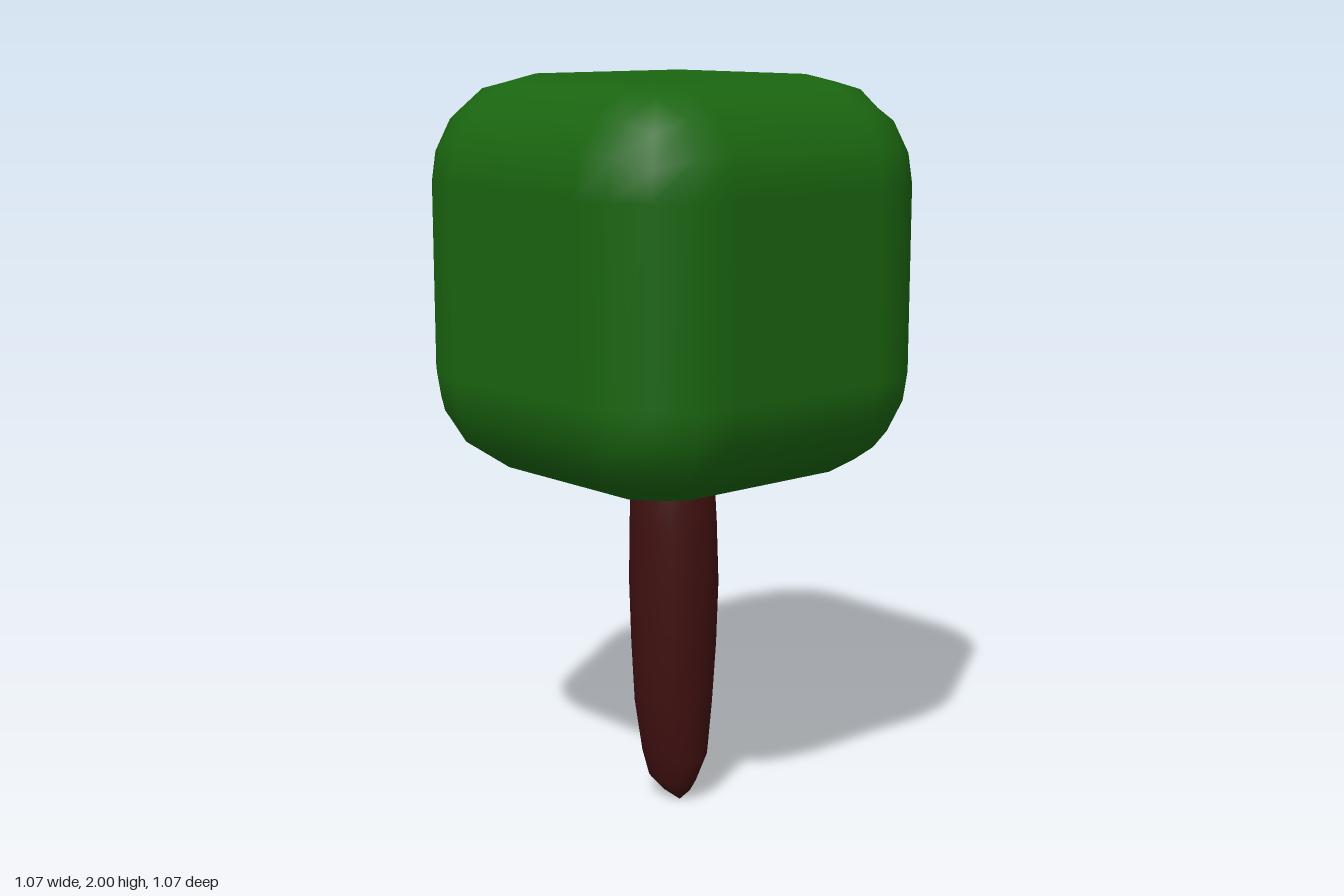
import * as THREE from 'three';
import { mergeVertices } from 'three/addons/utils/BufferGeometryUtils.js';

// Rounded cube: a flat core of half-size `core` with spherical corners of radius `r`
function roundedCube(core, r) {
  const geo = new THREE.BoxGeometry(2, 2, 2, 5, 5, 5);
  const pos = geo.attributes.position, nor = geo.attributes.normal;
  const steps = [0, Math.tan(Math.PI / 8), 1]; // even angular steps over the rounding
  const v = new THREE.Vector3();
  for (let i = 0; i < pos.count; i++) {
    const p = [pos.getX(i), pos.getY(i), pos.getZ(i)];
    const sign = p.map(Math.sign);
    v.fromArray(p.map((c, k) => sign[k] * steps[Math.round((Math.abs(c) - 0.2) / 0.4)])).normalize();
    nor.setXYZ(i, v.x, v.y, v.z);
    pos.setXYZ(i, sign[0] * core + v.x * r, sign[1] * core + v.y * r, sign[2] * core + v.z * r);
  }
  return geo;
}

// Slightly irregular column through elliptical rings [y, xMin, xMax, zMin, zMax], bottom to top
function column(rings, sides) {
  let geo = new THREE.CylinderGeometry(1, 1, 1, sides, rings.length - 1, true);
  const pos = geo.attributes.position;
  for (let i = 0; i < pos.count; i++) {
    const row = Math.round((pos.getY(i) + 0.5) * (rings.length - 1));
    const [y, x0, x1, z0, z1] = rings[row];
    pos.setXYZ(i,
      (x0 + x1) / 2 + pos.getX(i) * (x1 - x0) / 2, y,
      (z0 + z1) / 2 + pos.getZ(i) * (z1 - z0) / 2);
  }
  geo.deleteAttribute('uv');
  geo.deleteAttribute('normal');
  geo = mergeVertices(geo, 1e-4);
  geo.computeVertexNormals();
  return geo;
}

export function createModel() {
  const group = new THREE.Group();

  // Foliage block
  const foliage = new THREE.Mesh(roundedCube(0.25, 0.283),
    new THREE.MeshStandardMaterial({ color: 0x1a6510 }));
  foliage.name = 'foliage';
  foliage.position.y = 1.467;
  group.add(foliage);

  // Trunk, tapering to an off-centre rounded point and closed inside the foliage
  const rings = [
    [0.0, -0.001, 0.001, 0.039, 0.041],
    [0.025, -0.03, 0.045, -0.02, 0.062],
    [0.06, -0.055, 0.062, -0.07, 0.085],
    [0.13, -0.075, 0.09, -0.09, 0.11],
    [0.28, -0.105, 0.108, -0.098, 0.12],
    [0.45, -0.115, 0.118, -0.106, 0.131],
    [0.63, -0.122, 0.121, -0.11, 0.14],
    [0.8, -0.12, 0.115, -0.106, 0.136],
    [0.93, -0.115, 0.108, -0.104, 0.13],
    [1.04, -0.09, 0.085, -0.08, 0.105],
    [1.08, -0.001, 0.001, 0.014, 0.016],
  ];
  const trunk = new THREE.Mesh(column(rings, 16),
    new THREE.MeshStandardMaterial({ color: 0x401010 }));
  trunk.name = 'trunk';
  group.add(trunk);

  return group;
}
